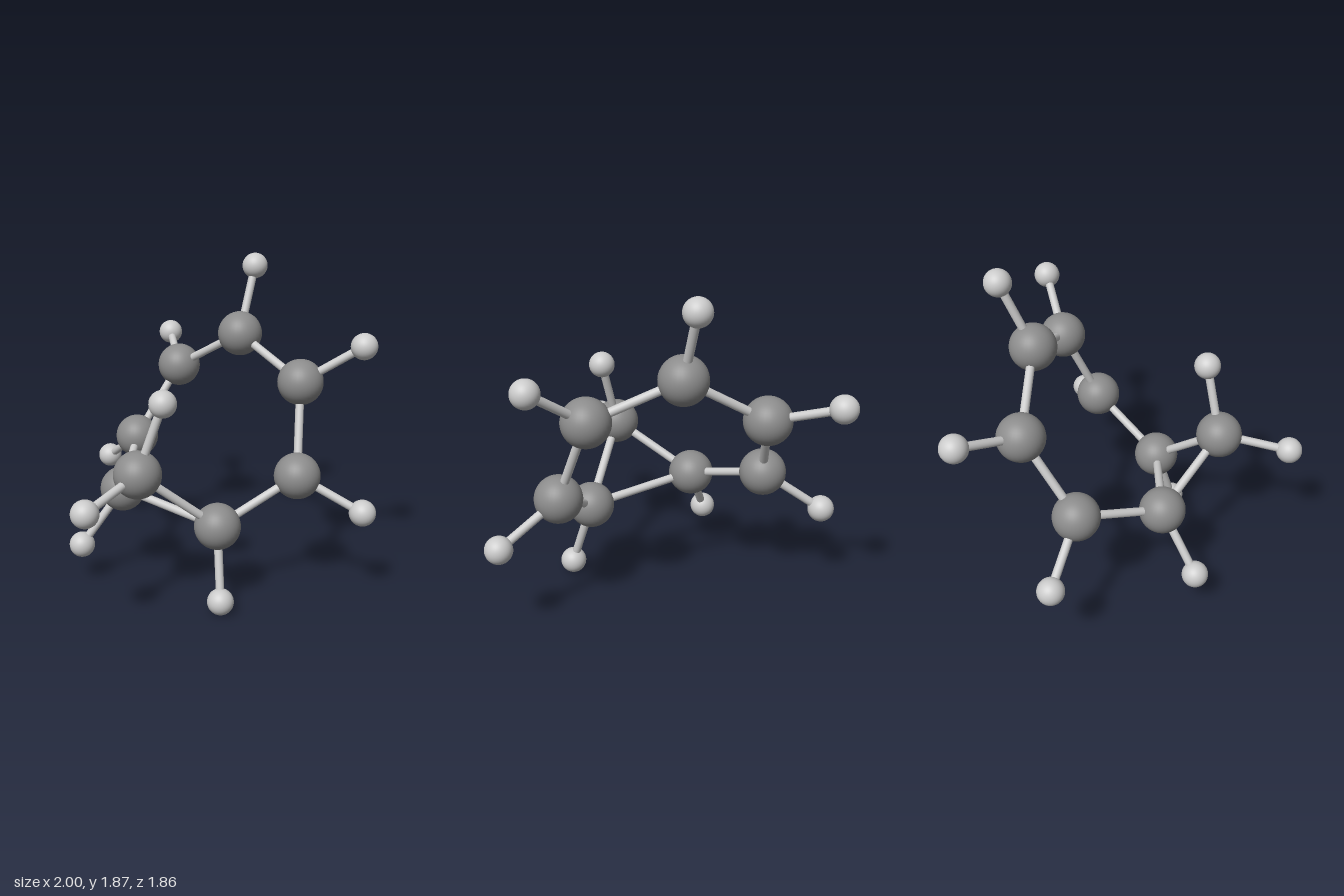
import * as THREE from 'three';

export function createModel() {
  const model = new THREE.Group();
  const dark = new THREE.MeshStandardMaterial({ color: 0x8c8c8c });
  const light = new THREE.MeshStandardMaterial({ color: 0xcccccc });
  const largeBall = new THREE.SphereGeometry(0.131, 32, 24);
  const smallBall = new THREE.SphereGeometry(0.075, 32, 24);

  // Large atoms: seven around the ring, then the bridge atom
  const large = [
    [-0.02, 1.414, -0.58], [-0.485, 1.15, -0.583], [-0.598, 0.727, -0.298],
    [-0.33, 0.572, 0.145], [0.305, 0.478, 0.073], [0.575, 0.727, -0.31],
    [0.461, 1.213, -0.495], [0.047, 0.835, 0.446],
  ].map((p) => new THREE.Vector3(...p));

  // Small atoms: index of the large atom each hangs on, then position
  const small = [
    [0, -0.03, 1.797, -0.738], [1, -0.77, 1.277, -0.853], [2, -0.925, 0.497, -0.398],
    [3, -0.484, 0.24, 0.342], [4, 0.4, 0.08, 0.167], [5, 0.923, 0.547, -0.445],
    [6, 0.78, 1.44, -0.627], [7, 0.155, 1.227, 0.363], [7, 0.046, 0.745, 0.853],
  ];

  const addBall = (name, geometry, material, at) => {
    const ball = new THREE.Mesh(geometry, material);
    ball.name = name;
    ball.position.copy(at);
    model.add(ball);
  };

  // Rod running between two atom centres
  const addRod = (name, a, b) => {
    const along = b.clone().sub(a);
    const rod = new THREE.Mesh(new THREE.CylinderGeometry(0.024, 0.024, along.length(), 20), light);
    rod.name = name;
    rod.position.copy(a).lerp(b, 0.5);
    rod.quaternion.setFromUnitVectors(new THREE.Vector3(0, 1, 0), along.normalize());
    model.add(rod);
  };

  large.forEach((p, i) => addBall(i < 7 ? 'ringAtom' : 'bridgeAtom', largeBall, dark, p));

  // Closed ring, plus two rods to the bridge atom
  for (let i = 0; i < 7; i++) addRod('ringBond', large[i], large[(i + 1) % 7]);
  for (const i of [3, 4]) addRod('bridgeBond', large[i], large[7]);

  // Outer atoms with their rods
  for (const [i, x, y, z] of small) {
    const p = new THREE.Vector3(x, y, z);
    addBall('outerAtom', smallBall, light, p);
    addRod('outerBond', large[i], p);
  }

  return model;
}
